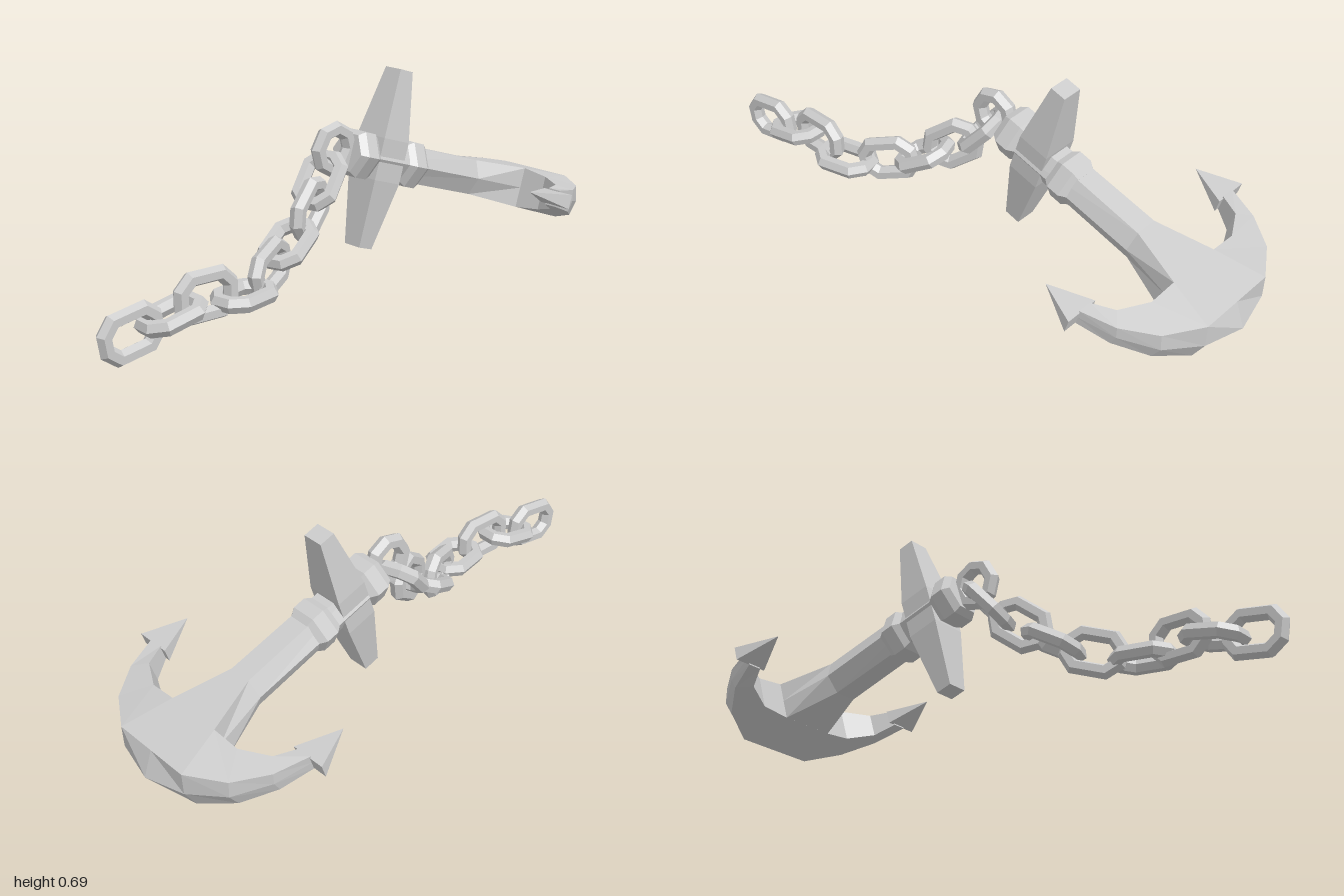
import * as THREE from 'three';

const material = new THREE.MeshStandardMaterial({ color: 0xcccccc, flatShading: true });

function mesh(name, geometry, parent) {
  const m = new THREE.Mesh(geometry, material);
  m.name = name;
  parent.add(m);
  return m;
}

// Skin a row of closed convex cross-sections (arrays of [x, y, z]) and cap both ends
function loft(sections) {
  const tris = [];
  const n = sections[0].length;
  for (let s = 0; s < sections.length - 1; s++) {
    const a = sections[s], b = sections[s + 1];
    for (let i = 0; i < n; i++) {
      const j = (i + 1) % n;
      tris.push([a[i], a[j], b[j]], [a[i], b[j], b[i]]);
    }
  }
  const first = sections[0], last = sections[sections.length - 1];
  for (let i = 1; i < n - 1; i++) {
    tris.push([first[0], first[i + 1], first[i]], [last[0], last[i], last[i + 1]]);
  }
  // Turn the faces outward if the enclosed volume comes out negative
  let volume = 0;
  for (const [a, b, c] of tris) {
    volume += new THREE.Vector3(...a).dot(new THREE.Vector3(...b).cross(new THREE.Vector3(...c)));
  }
  if (volume < 0) tris.forEach((t) => t.reverse());
  const g = new THREE.BufferGeometry();
  g.setAttribute('position', new THREE.Float32BufferAttribute(tris.flat(2), 3));
  g.computeVertexNormals();
  return g;
}

// Six-sided section across z: flat half-width, side half-width, half-height
const hexagon = (z, flat, side, h) => [
  [side, 0, z], [flat, h, z], [-flat, h, z], [-side, 0, z], [-flat, -h, z], [flat, -h, z],
];
const regularHex = (z, r) => hexagon(z, r / 2, r, r * 0.866);

// Rectangular section across y
const rectangle = (y, hx, hz) => [[hx, y, hz], [hx, y, -hz], [-hx, y, -hz], [-hx, y, hz]];

function buildAnchor() {
  const anchor = new THREE.Group();
  anchor.name = 'anchor';

  // Hexagonal shank, flaring where it joins the arms
  mesh('shank', loft([
    regularHex(0.14, 0.055), regularHex(0.1, 0.07), hexagon(-0.42, 0.04, 0.07, 0.06),
    hexagon(-0.61, 0.1, 0.1, 0.07), hexagon(-0.68, 0.1, 0.1, 0.07),
  ]), anchor);

  // Bulging collars on both sides of the stock
  for (const [name, z] of [['frontCollar', 0.1], ['rearCollar', -0.125]]) {
    mesh(name, loft([
      regularHex(z - 0.045, 0.07), regularHex(z - 0.022, 0.087),
      regularHex(z + 0.022, 0.087), regularHex(z + 0.045, 0.07),
    ]), anchor);
  }

  // Stock crossing the shank, tapering to both ends
  mesh('stock', loft([
    rectangle(-0.3, 0.036, 0.028), rectangle(-0.07, 0.065, 0.056),
    rectangle(0.07, 0.065, 0.056), rectangle(0.3, 0.036, 0.028),
  ]), anchor);

  // Curved arms: inner x, z, half-height; outer x, z, half-height; ridge z
  const stations = [
    [0, -0.608, 0.07, 0, -0.775, 0.075, -0.83],
    [0.1, -0.608, 0.07, 0.145, -0.775, 0.075, -0.795],
    [0.2, -0.608, 0.058, 0.265, -0.702, 0.052, -0.72],
    [0.295, -0.557, 0.042, 0.34, -0.598, 0.038, -0.608],
    [0.33, -0.485, 0.028, 0.378, -0.485, 0.028, -0.487],
  ];
  const section = (s, [ix, iz, ih, ox, oz, oh, rz]) => [
    [s * ix, ih, iz], [s * ix, -ih, iz], [s * ox, -oh, oz], [s * ox, 0, rz], [s * ox, oh, oz],
  ];
  mesh('arms', loft([
    ...stations.slice(1).reverse().map((p) => section(-1, p)),
    ...stations.map((p) => section(1, p)),
  ]), anchor);

  // Pointed flukes at the arm tips
  for (const [name, s] of [['leftFluke', 1], ['rightFluke', -1]]) {
    const z = -0.49, cx = s * 0.368, w = 0.061, h = 0.024;
    mesh(name, loft([
      [[cx + w, h, z], [cx - w, h, z], [cx - w, -h, z], [cx + w, -h, z]],
      Array.from({ length: 4 }, () => [cx, 0.004, -0.35]),
    ]), anchor);
  }

  anchor.position.set(0, 0.4, -0.21);
  anchor.rotation.x = -0.3;
  return anchor;
}

// Faceted ring in the xy plane, stretched along x
function linkGeometry(stretch) {
  const g = new THREE.TorusGeometry(0.063, 0.026, 6, 8).rotateZ(Math.PI / 8);
  const p = g.attributes.position;
  for (let i = 0; i < p.count; i++) p.setX(i, p.getX(i) + Math.sign(p.getX(i)) * stretch);
  return g;
}

function buildChain() {
  const chain = new THREE.Group();
  chain.name = 'chain';
  const centres = [
    [0, 0.46, -0.015], [-0.005, 0.365, 0.04], [0.05, 0.295, 0.125],
    [0.075, 0.21, 0.235], [0.13, 0.165, 0.35], [0.19, 0.125, 0.495],
    [0.185, 0.155, 0.63], [0.18, 0.12, 0.75], [0.18, 0.095, 0.889],
  ].map((c) => new THREE.Vector3(...c));
  const ring = linkGeometry(0.004), link = linkGeometry(0.028);
  const up = new THREE.Vector3(0, 1, 0);

  // Links follow the path, alternately upright and flat
  centres.forEach((c, i) => {
    const before = centres[Math.max(i - 1, 0)];
    const after = centres[Math.min(i + 1, centres.length - 1)];
    const along = after.clone().sub(before).normalize();
    if (i === 0 || i === centres.length - 1) along.setX(0).normalize();
    const side = along.clone().cross(up).normalize();
    const rise = side.clone().cross(along);
    const across = i % 2 ? side : rise;
    const normal = along.clone().cross(across);
    const m = mesh(`chainLink${i + 1}`, i ? link : ring, chain);
    m.quaternion.setFromRotationMatrix(new THREE.Matrix4().makeBasis(along, across, normal));
    m.position.copy(c);
  });
  return chain;
}

export function createModel() {
  const model = new THREE.Group();
  model.name = 'anchorWithChain';
  model.add(buildAnchor(), buildChain());
  return model;
}
